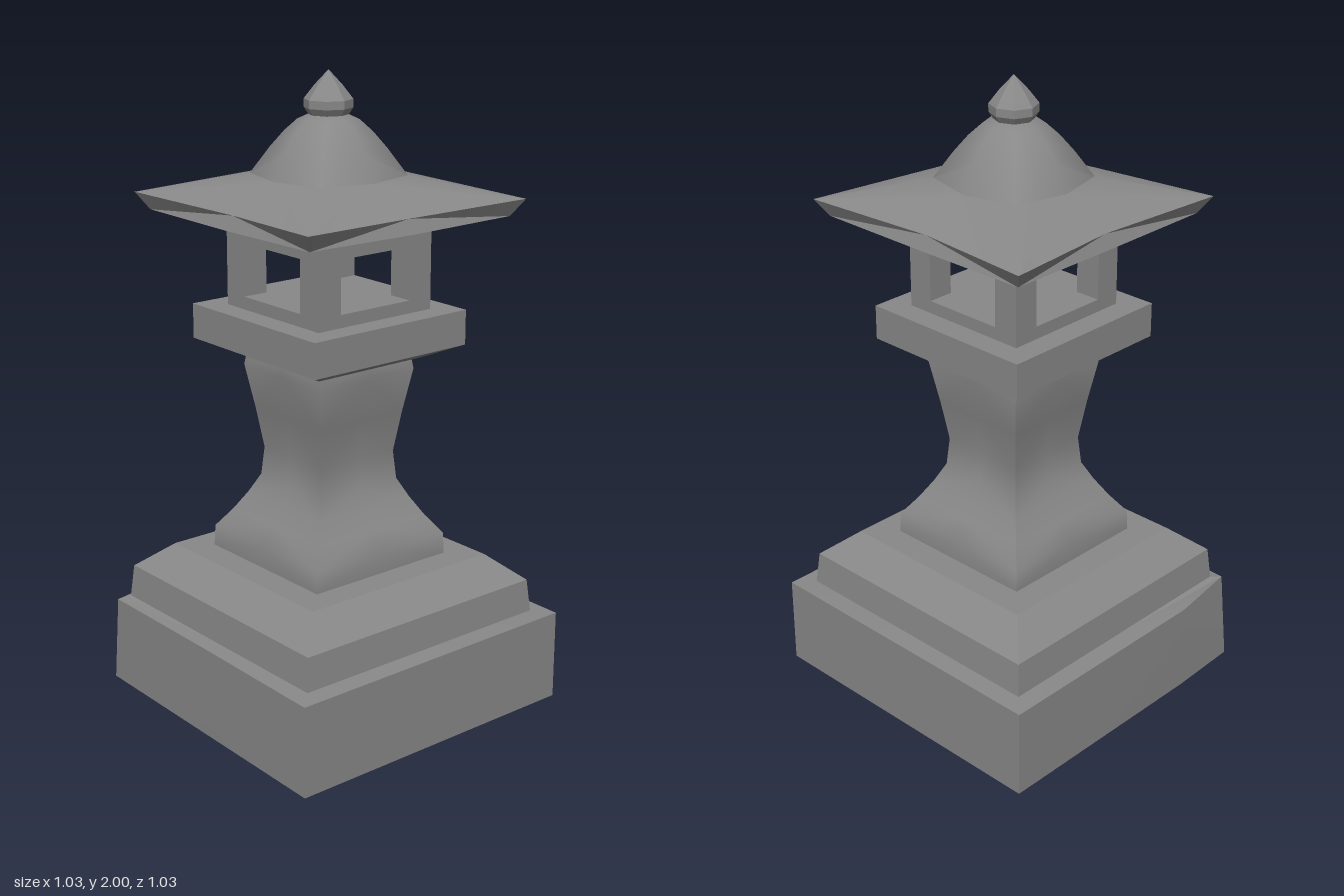
import * as THREE from 'three';
import { toCreasedNormals } from 'three/addons/utils/BufferGeometryUtils.js';

const stone = new THREE.MeshStandardMaterial({ color: 0x888888, side: THREE.DoubleSide });

// Eight-point ring: side midpoints at distance m, corners at (±d, ±d).
function ring(y, d, m = d, yMid = y) {
  return Array.from({ length: 8 }, (_, i) => {
    const a = (i * Math.PI) / 4;
    const r = i % 2 ? d * Math.SQRT2 : m;
    return new THREE.Vector3(r * Math.sin(a), i % 2 ? y : yMid, r * Math.cos(a));
  });
}

// Skin stacked rings from bottom to top, with optional end caps.
function loft(name, rings, { bottom = false, top = false, crease = 0.5 } = {}) {
  const pos = [];
  const tri = (...points) => points.forEach((p) => pos.push(p.x, p.y, p.z));
  const centre = (r) => r.reduce((s, p) => s.add(p), new THREE.Vector3()).divideScalar(r.length);
  for (let k = 0; k < rings.length - 1; k++) {
    const a = rings[k], b = rings[k + 1];
    for (let i = 0; i < 8; i++) {
      const j = (i + 1) % 8;
      // Mirror the diagonals so each side stays symmetric
      if (i % 2) {
        tri(a[i], a[j], b[j]);
        tri(a[i], b[j], b[i]);
      } else {
        tri(a[i], a[j], b[i]);
        tri(a[j], b[j], b[i]);
      }
    }
  }
  const first = rings[0], last = rings[rings.length - 1];
  for (let i = 0; i < 8; i++) {
    const j = (i + 1) % 8;
    if (bottom) tri(first[j], first[i], centre(first));
    if (top) tri(last[i], last[j], centre(last));
  }
  const geo = new THREE.BufferGeometry();
  geo.setAttribute('position', new THREE.Float32BufferAttribute(pos, 3));
  const mesh = new THREE.Mesh(toCreasedNormals(geo, crease), stone);
  mesh.name = name;
  return mesh;
}

function box(name, w, h, d, x, y, z) {
  const mesh = new THREE.Mesh(new THREE.BoxGeometry(w, h, d), stone);
  mesh.position.set(x, y, z);
  mesh.name = name;
  return mesh;
}

export function createModel() {
  const model = new THREE.Group();
  model.name = 'stoneLantern';

  // Hollow plinth, open below, with one worn front corner
  const foot = ring(0, 0.515), rim = ring(0.29, 0.515);
  foot[0].z = rim[0].z = 0.505;
  foot[6].z = rim[6].z = 0.25;
  foot[7].set(-0.505, 0, 0.495);
  rim[7].set(-0.475, 0.285, 0.495);
  model.add(loft('plinth', [foot, rim, ring(0.295, 0.457)], { crease: 0.3 }));

  // Stepped tier with a chamfered shoulder
  model.add(loft('basePlatform', [
    ring(0.295, 0.457), ring(0.4, 0.447), ring(0.483, 0.35), ring(0.483, 0.255),
  ], { crease: 0.3 }));

  // Post with a flared foot and a wider head
  model.add(loft('post', [
    [0.483, 0.26], [0.55, 0.257], [0.61, 0.215], [0.67, 0.18], [0.73, 0.151],
    [0.82, 0.143], [0.95, 0.162], [1.09, 0.186], [1.13, 0.18],
  ].map(([y, r]) => ring(y, r)), { crease: 0.6 }));

  // Platform beneath the fire box
  model.add(loft('upperPlatform', [ring(1.125, 0.2), ring(1.17, 0.297), ring(1.28, 0.297)],
    { bottom: true, top: true }));

  // Fire box: floor, ceiling and four corner posts leaving open windows
  const fireBox = new THREE.Group();
  fireBox.name = 'fireBox';
  fireBox.add(box('fireBoxFloor', 0.44, 0.045, 0.44, 0, 1.2975, 0));
  fireBox.add(box('fireBoxCeiling', 0.44, 0.06, 0.44, 0, 1.515, 0));
  for (const x of [-1, 1]) for (const z of [-1, 1]) {
    fireBox.add(box('cornerPost', 0.085, 0.165, 0.085, x * 0.1775, 1.4025, z * 0.1775));
  }
  model.add(fireBox);

  // Roof with upswept corners and bowed eaves
  model.add(loft('roof', [
    ring(1.535, 0.2, 0.2, 1.525), ring(1.572, 0.385, 0.378, 1.566),
    ring(1.625, 0.418, 0.36, 1.61), ring(1.69, 0.168, 0.21),
  ], { bottom: true, crease: 0.35 }));

  // Rounded crown
  model.add(loft('crown', [
    ring(1.69, 0.168, 0.21), ring(1.77, 0.125, 0.168), ring(1.82, 0.094, 0.13),
    ring(1.855, 0.066, 0.092), ring(1.875, 0.035, 0.05),
  ], { top: true, crease: 0.9 }));

  // Bud-shaped finial
  const bud = [[1.865, 0.058], [1.89, 0.074], [1.915, 0.074], [1.955, 0.043], [2, 0.001]];
  model.add(loft('finial', bud.map(([y, r]) => ring(y, r * Math.SQRT1_2, r)),
    { bottom: true, crease: 0.5 }));

  return model;
}
